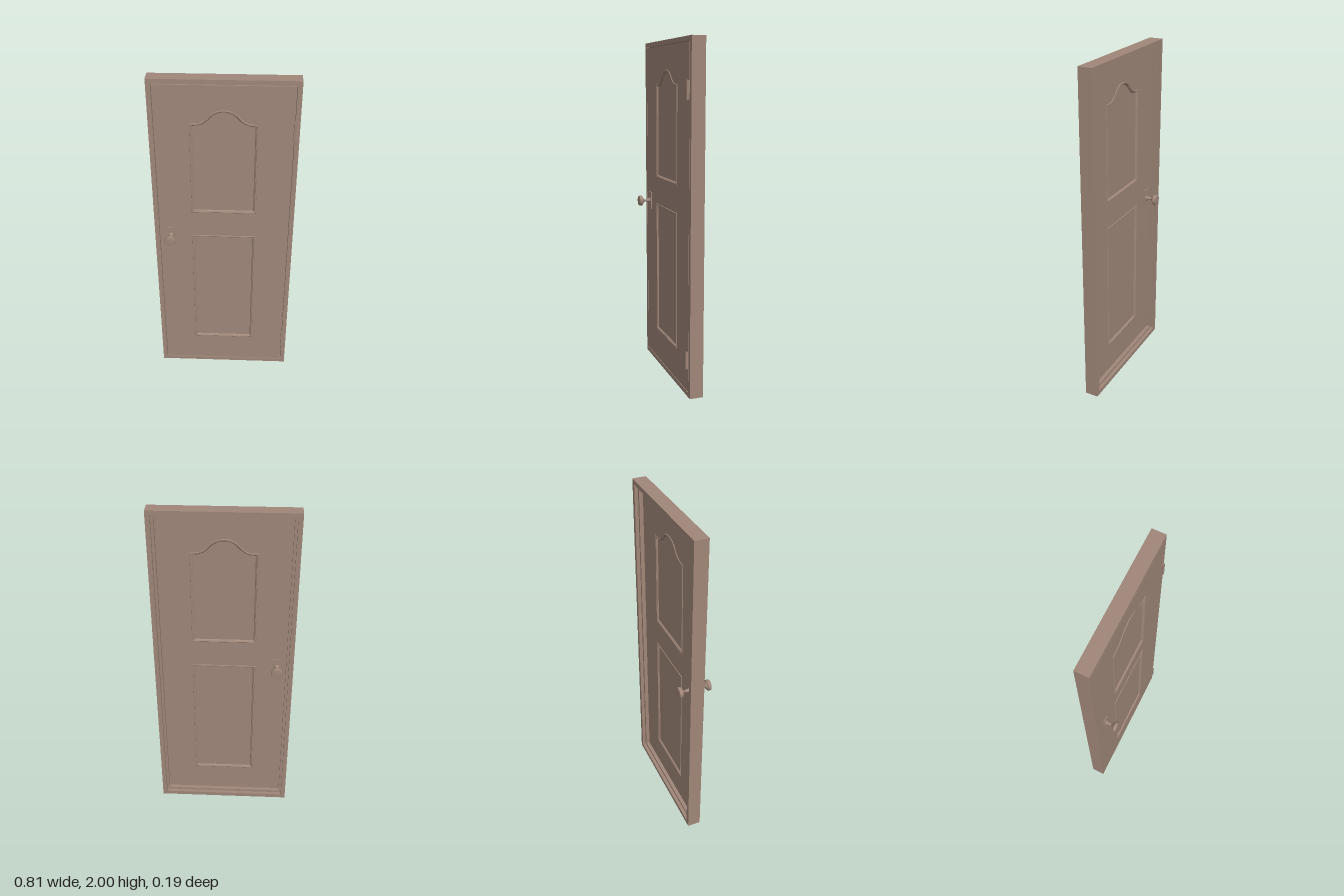
import * as THREE from 'three';

const FRONT = 0.017, BACK = -0.018, FRAME_BACK = -0.063;
const KNOB_X = -0.31, KNOB_Y = 1.03;

const wood = new THREE.MeshStandardMaterial({ color: 0xa08779 });
wood.name = 'brown';

function add(parent, name, geometry, x = 0, y = 0, z = 0) {
  const mesh = new THREE.Mesh(geometry, wood);
  mesh.name = name;
  mesh.position.set(x, y, z);
  parent.add(mesh);
  return mesh;
}

// Counter-clockwise rectangle
function rect(x, y0, y1) {
  return [[-x, y0], [x, y0], [x, y1], [-x, y1]].map(p => new THREE.Vector2(...p));
}

// Extruded slab with holes, from z0 to z1
function slab(outline, holes, z0, z1) {
  const shape = new THREE.Shape(outline);
  for (const h of holes) shape.holes.push(new THREE.Path(h));
  return new THREE.ExtrudeGeometry(shape, { depth: z1 - z0, bevelEnabled: false }).translate(0, 0, z0);
}

// Mitred inward offset of a counter-clockwise outline
function inset(points, d) {
  const n = points.length;
  return points.map((p, i) => {
    const a = p.clone().sub(points[(i + n - 1) % n]).normalize();
    const b = points[(i + 1) % n].clone().sub(p).normalize();
    const na = new THREE.Vector2(-a.y, a.x), nb = new THREE.Vector2(-b.y, b.x);
    return na.clone().add(nb).multiplyScalar(d / (1 + na.dot(nb))).add(p);
  });
}

// Moulding swept round an outline; profile is [inset, height]
function moulding(points, profile) {
  const pos = [];
  const rings = profile.map(([d, h]) => inset(points, d).map(p => [p.x, p.y, h]));
  for (let r = 0; r < rings.length - 1; r++) {
    for (let i = 0; i < points.length; i++) {
      const j = (i + 1) % points.length;
      const a = rings[r][i], b = rings[r][j], c = rings[r + 1][j], d = rings[r + 1][i];
      pos.push(...a, ...b, ...c, ...a, ...c, ...d);
    }
  }
  const g = new THREE.BufferGeometry();
  g.setAttribute('position', new THREE.Float32BufferAttribute(pos, 3));
  g.computeVertexNormals();
  return g;
}

// Upper panel outline with a bell-shaped top
function archOutline() {
  const half = [[0.185, 1.753], [0.15, 1.754], [0.122, 1.762], [0.095, 1.782], [0.07, 1.808], [0.04, 1.826], [0, 1.833]];
  const all = [...half, ...half.slice(0, -1).reverse().map(([x, y]) => [-x, y])];
  const curve = new THREE.SplineCurve(all.map(p => new THREE.Vector2(...p)));
  return [new THREE.Vector2(-0.185, 1.19), new THREE.Vector2(0.185, 1.19), ...curve.getPoints(36)];
}

// Backplate, rose, neck and round knob, pointing along +z
function makeHandle(name) {
  const handle = new THREE.Group();
  handle.name = name;
  add(handle, 'backplate', new THREE.BoxGeometry(0.042, 0.108, 0.006), 0, 0, 0.003);
  const sections = [
    [[0.016, 0.005], [0.016, 0.011], [0.012, 0.015]],
    [[0.012, 0.015], [0.009, 0.018], [0.011, 0.023], [0.01, 0.029], [0.006, 0.036], [0.006, 0.041], [0.011, 0.046], [0.02, 0.053], [0.026, 0.058]],
    [[0.026, 0.058], [0.031, 0.06]],
    [[0.031, 0.06], [0.032, 0.063], [0.032, 0.074], [0.03, 0.078]],
    [[0.03, 0.078], [0.018, 0.0795], [0, 0.08]],
  ];
  const names = ['rose', 'neck', 'knobUnderside', 'knobRim', 'knobFace'];
  sections.forEach((s, i) => {
    const g = new THREE.LatheGeometry(s.map(p => new THREE.Vector2(...p)), 28);
    add(handle, names[i], g.rotateX(Math.PI / 2));
  });
  return handle;
}

export function createModel() {
  const door = new THREE.Group();
  door.name = 'door';

  // Frame with a narrower stop behind the leaf
  add(door, 'frame', slab(rect(0.405, 0, 2), [rect(0.379, 0.026, 1.974)], FRAME_BACK, FRONT));
  add(door, 'doorStop', slab(rect(0.38, 0.025, 1.975), [rect(0.364, 0.041, 1.959)], -0.042, BACK - 0.001));

  // Leaf with two panel openings
  const outlines = { upper: archOutline(), lower: rect(0.185, 0.22, 1.03) };
  const openings = Object.values(outlines).map(o => inset(o, 0.008));
  add(door, 'leaf', slab(rect(0.375, 0.031, 1.97), openings, BACK, FRONT));

  // Recessed panels, with mouldings on both faces
  const profile = [[0, -0.001], [0.001, 0.003], [0.003, 0.004], [0.007, 0.004], [0.009, 0.001], [0.012, 0], [0.016, -0.006]];
  for (const [name, outline] of Object.entries(outlines)) {
    add(door, name + 'Panel', slab(inset(outline, 0.009), [], BACK + 0.006, FRONT - 0.006));
    const trim = moulding(outline, profile);
    add(door, name + 'FrontMoulding', trim, 0, 0, FRONT);
    add(door, name + 'BackMoulding', trim, 0, 0, BACK).rotation.y = Math.PI;
  }

  // Handles on both faces, and the latch plate on the edge
  const front = makeHandle('frontHandle');
  front.position.set(KNOB_X, KNOB_Y, FRONT);
  const back = makeHandle('backHandle');
  back.position.set(KNOB_X, KNOB_Y, BACK);
  back.rotation.y = Math.PI;
  door.add(front, back);
  add(door, 'latch', new THREE.BoxGeometry(0.006, 0.025, 0.012), -0.377, KNOB_Y, 0);

  // Hinges
  for (const y of [0.222, 1.722]) {
    const hinge = new THREE.Group();
    hinge.name = 'hinge';
    hinge.position.set(0.376, y, 0);
    add(hinge, 'hingeLeaf', new THREE.BoxGeometry(0.003, 0.1, 0.044), 0, 0, 0.006);
    add(hinge, 'hingeBarrel', new THREE.CylinderGeometry(0.005, 0.005, 0.104, 14), 0, 0, 0.029);
    door.add(hinge);
  }
  return door;
}
